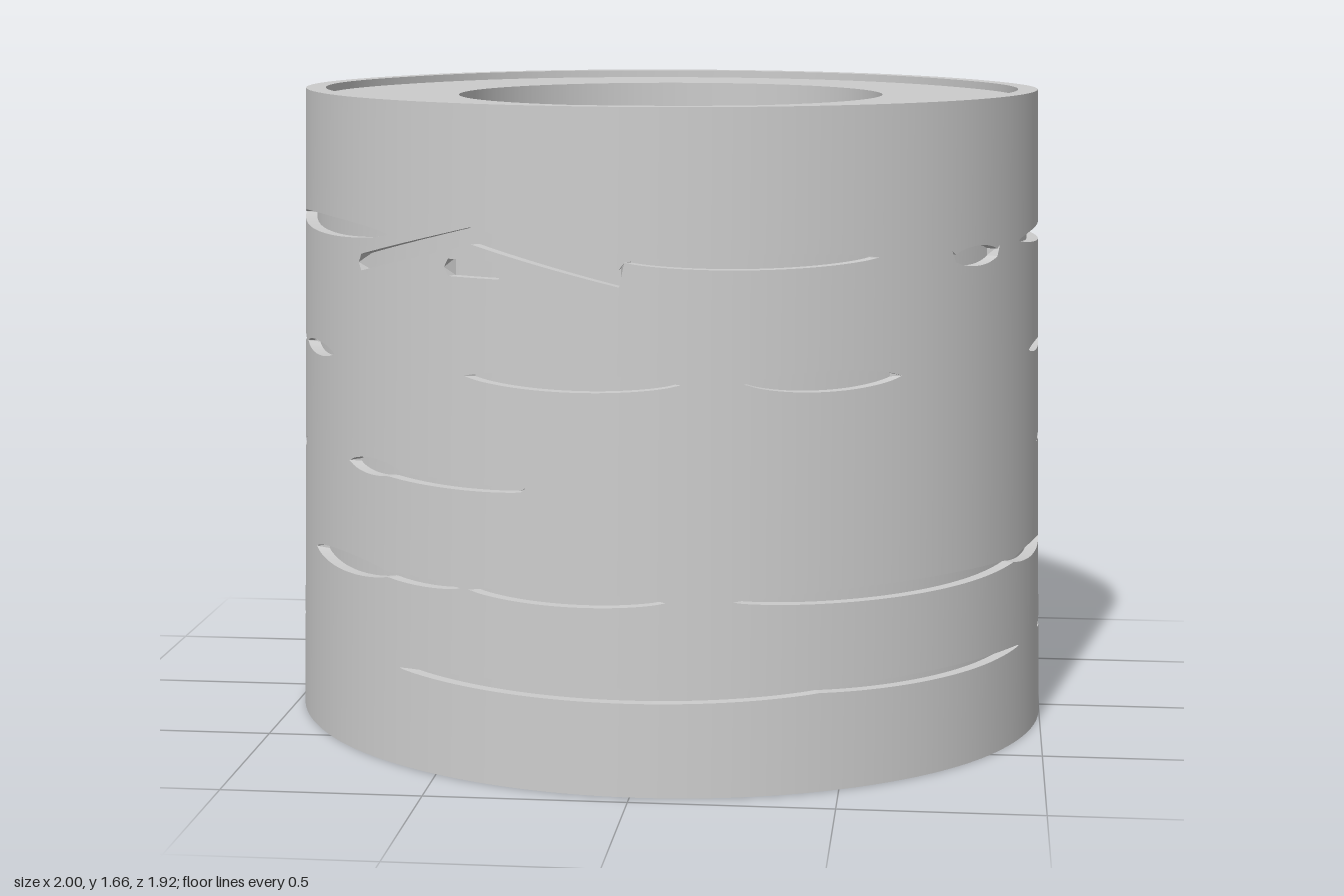
import * as THREE from 'three';
import { toCreasedNormals } from 'three/addons/utils/BufferGeometryUtils.js';

const HEIGHT = 1.66, COLUMNS = 480, GROOVE = 0.03;

// Lobed trunk outline: radius every 30 degrees, from +x towards +z
const OUTLINE = [0.998, 1.003, 0.978, 0.96, 0.957, 0.976, 1, 0.98, 0.988, 0.962, 0.938, 0.942];
function outline(deg) {
  const n = OUTLINE.length, f = (((deg % 360) + 360) % 360) / 30;
  const i = Math.floor(f), t = f - i;
  const p = (k) => OUTLINE[(i + k + n) % n];
  const [a, b, c, d] = [p(-1), p(0), p(1), p(2)];
  return b + 0.5 * t * (c - a + t * (2 * a - 5 * b + 4 * c - d + t * (3 * (b - c) + d - a)));
}
const barkRadius = (deg, y) => outline(deg) * (1 - (0.035 * y) / HEIGHT);

// Skin a list of rings; each ring maps an angle in degrees to [radius, y]
function loft(rings) {
  const pos = [];
  const point = (ring, i) => {
    const deg = ((i % COLUMNS) * 360) / COLUMNS, a = THREE.MathUtils.degToRad(deg);
    const [r, y] = ring(deg);
    return new THREE.Vector3(r * Math.cos(a), y, r * Math.sin(a));
  };
  const tri = (...v) => {
    const [a, b, c] = v;
    if (a.distanceTo(b) < 1e-6 || b.distanceTo(c) < 1e-6 || a.distanceTo(c) < 1e-6) return;
    for (const q of v) pos.push(q.x, q.y, q.z);
  };
  for (let j = 0; j < rings.length - 1; j++) {
    for (let i = 0; i < COLUMNS; i++) {
      const a = point(rings[j], i), b = point(rings[j + 1], i);
      const c = point(rings[j], i + 1), d = point(rings[j + 1], i + 1);
      tri(a, b, c);
      tri(b, d, c);
    }
  }
  const geo = new THREE.BufferGeometry();
  geo.setAttribute('position', new THREE.Float32BufferAttribute(pos, 3));
  return toCreasedNormals(geo, Math.PI / 6);
}

// Lens-shaped groove between two angles, relative to its band; returns [bottom, top]
const slit = (from, to, h = 0.037, dy = 0) => (deg) => {
  const d = (((deg - from) % 360) + 360) % 360;
  if (d >= to - from) return null;
  const t = (2 * d) / (to - from) - 1;
  const half = (h / 2) * Math.pow(1 - t * t, 0.7);
  return half > 0.001 ? [dy - half, dy + half] : null;
};
// Straight-edged groove running between two heights
const bar = (from, to, start = 0, end = 0) => (deg) => {
  if (deg < from || deg > to) return null;
  const y = THREE.MathUtils.lerp(start, end, (deg - from) / (to - from));
  return [y - 0.021, y + 0.021];
};

// One level of grooves as four rings: lower lip, groove floor, groove ceiling, upper lip.
// Between grooves the rings close up at the level's height, or at rest(deg) above it.
function band(level, cuts, rest = () => 0) {
  const span = (deg) => {
    const hits = cuts.map((c) => c(deg)).filter(Boolean);
    if (!hits.length) return null;
    return [Math.min(...hits.map((h) => h[0])), Math.max(...hits.map((h) => h[1]))];
  };
  return [[0, 0], [0, GROOVE], [1, GROOVE], [1, 0]].map(([side, depth]) => (deg) => {
    const s = span(deg);
    const y = level + (s ? s[side] : rest(deg));
    return [barkRadius(deg, y) - (s ? depth : 0), y];
  });
}

// Bark grooves, level by level from the base
function grooveRings() {
  const base = band(0.25, [slit(60, 129), slit(20, 65, 0.024), slit(-31, 8, 0.048),
    slit(218, 254), slit(168, 195, 0.03)]);
  const low = band(0.48, [slit(131, 156, 0.05), slit(117, 134, 0.022), slit(85, 115),
    slit(20, 75), slit(4, 23), slit(-58, -38, 0.05), slit(-91, -75)]);
  const middle = band(0.745, [slit(129, 142, 0.042), slit(106, 135, 0.022, -0.01),
    slit(-7, 8, 0.026, 0.01), slit(-21, -10), slit(205, 223, 0.028, -0.03),
    slit(165, 185, 0.035, -0.02)]);
  const high = band(1.005, [slit(148, 163), slit(83, 116, 0.046), slit(49, 73, 0.05),
    slit(2, 15, 0.026), slit(-75, -62), slit(166, 186)]);
  // Small straight cut below the chevron
  const notch = band(1.265, [bar(110, 119.5)], (deg) => (deg > 106 && deg < 124 ? 0 : -0.065));
  // Chevron and its neighbouring slits
  const top = band(1.295, [bar(91, 115, -0.04, 0.05), bar(115, 139, 0.05, -0.043),
    slit(53, 90.5), slit(27, 39, 0.05, -0.018), slit(-25, 20, 0.048), slit(258, 285),
    slit(251, 266, 0.04, -0.01)], (deg) => (deg > 115 && deg < 150 ? -0.043 : 0));
  const upper = band(1.33, [slit(132, 172, 0.048)], (deg) => (deg > 128 && deg < 176 ? 0 : 0.07));
  return [base, low, middle, high, notch, top, upper].flat();
}

export function createModel() {
  const model = new THREE.Group();
  model.name = 'logPlanter';
  const grey = new THREE.MeshStandardMaterial({ color: 0xcccccc });
  grey.name = 'grey';
  const add = (name, rings) => {
    const mesh = new THREE.Mesh(loft(rings), grey);
    mesh.name = name;
    model.add(mesh);
  };
  const bark = (y) => (deg) => [barkRadius(deg, y), y];
  const bore = (y) => (deg) => [outline(deg) - 0.086, y];
  const circle = (r, y) => () => [r, y];

  const deck = 1.64, cupFloor = 1.27, ceiling = 1.19;

  // Outer bark with carved grooves
  add('bark', [bark(0), ...grooveRings(), bark(HEIGHT)]);
  // Raised lip and the deck inside it
  add('rim', [bark(HEIGHT), bore(HEIGHT), bore(deck)]);
  add('topDeck', [bore(deck), circle(0.56, deck)]);
  // Round recess with a drain hole in its floor
  add('cup', [circle(0.56, deck), circle(0.56, cupFloor), circle(0.138, cupFloor)]);
  // Drain tube reaching down to the base
  add('drainTube', [circle(0.138, cupFloor), circle(0.138, 0), circle(0.196, 0), circle(0.196, ceiling)]);
  // Flat ceiling of the hollow base
  add('ceiling', [circle(0.196, ceiling), bore(ceiling)]);
  // Hollow inside wall and bottom edge
  add('innerWall', [bore(ceiling), bore(0), bark(0)]);
  return model;
}
